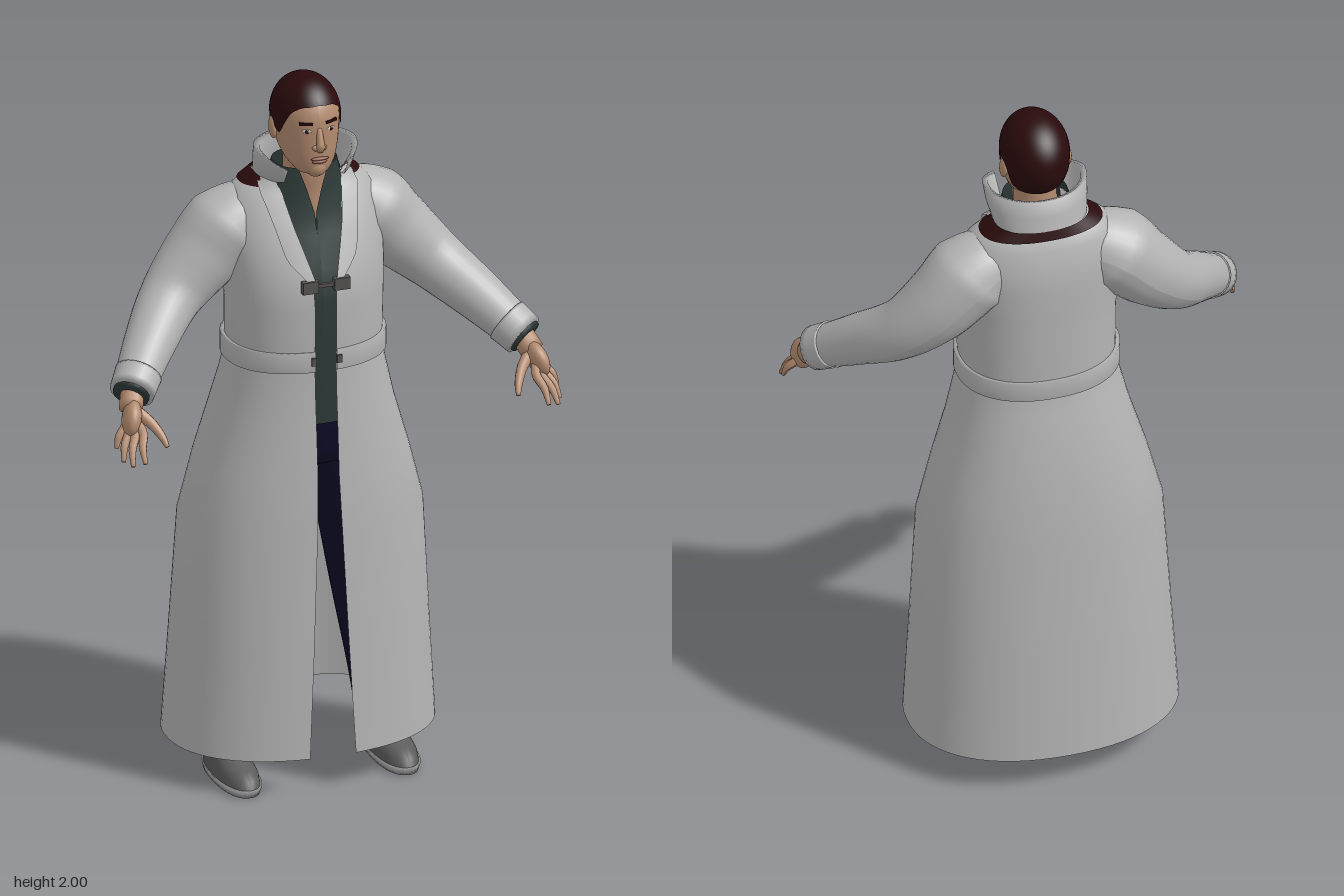
import * as THREE from 'three';

const mat = (name, color, side = THREE.FrontSide) => {
  const m = new THREE.MeshStandardMaterial({ color, side });
  m.name = name;
  return m;
};

// Smooth grid surface from f(u, v) -> [x, y, z]
function surface(f, nu, nv) {
  const pos = [], idx = [];
  for (let j = 0; j <= nv; j++) for (let i = 0; i <= nu; i++) pos.push(...f(i / nu, j / nv));
  for (let j = 0; j < nv; j++) for (let i = 0; i < nu; i++) {
    const a = j * (nu + 1) + i, b = a + nu + 1;
    idx.push(a, a + 1, b + 1, a, b + 1, b);
  }
  const g = new THREE.BufferGeometry();
  g.setAttribute('position', new THREE.Float32BufferAttribute(pos, 3));
  g.setIndex(idx);
  g.computeVertexNormals();
  return g;
}

// Interpolate section rows [y, halfWidth, zFront, zBack, halfGap] at a height
function rowAt(rows, y) {
  let i = 0;
  while (i < rows.length - 2 && y > rows[i + 1][0]) i++;
  const a = rows[i], b = rows[i + 1];
  const t = THREE.MathUtils.clamp((y - a[0]) / (b[0] - a[0]), 0, 1);
  return a.map((v, k) => v + (b[k] - v) * t);
}

const pw = (v, p) => Math.sign(v) * Math.abs(v) ** p;

// Rounded horizontal rings stacked upward, optionally open at the front
function loft(rows, { p = 1, x = 0, n = 48, lift = () => 0 } = {}) {
  return surface((u, v) => {
    const [y, rx, zf, zb, gap = 0] = rows[Math.round(v * (rows.length - 1))];
    const a0 = rx > 0 ? Math.asin(Math.min(1, (gap / rx) ** (1 / p))) : 0;
    const a = a0 + u * (2 * Math.PI - 2 * a0);
    return [x + rx * pw(Math.sin(a), p), y + lift(a, v),
      (zf + zb) / 2 + (zf - zb) / 2 * pw(Math.cos(a), p)];
  }, n, rows.length - 1);
}

// Tapered round limb through points [x, y, z, radius], closed at both ends
function limb(pts, n = 16, steps = 14) {
  const curve = new THREE.CatmullRomCurve3(pts.map(q => new THREE.Vector3(q[0], q[1], q[2])));
  const fr = curve.computeFrenetFrames(steps, false);
  return surface((u, v) => {
    const j = Math.round(v * (steps + 2)), k = THREE.MathUtils.clamp(j - 1, 0, steps);
    const t = k / steps * (pts.length - 1), i = Math.min(pts.length - 2, Math.floor(t));
    const r = j === 0 || j === steps + 2 ? 0 : THREE.MathUtils.lerp(pts[i][3], pts[i + 1][3], t - i);
    return curve.getPoint(k / steps)
      .addScaledVector(fr.normals[k], r * Math.cos(u * 2 * Math.PI))
      .addScaledVector(fr.binormals[k], r * Math.sin(u * 2 * Math.PI)).toArray();
  }, n, steps + 2);
}

const FACE = [[1.738, 0.015, 0.08, 0.03], [1.75, 0.045, 0.1, 0.005], [1.775, 0.066, 0.106, -0.05],
  [1.81, 0.079, 0.109, -0.09], [1.85, 0.086, 0.11, -0.112], [1.89, 0.088, 0.11, -0.117]];

// Point on the head at a height and angle (0 = front)
function headPoint(y, a, grow = 0) {
  let [, rx, zf, zb] = rowAt(FACE, y);
  if (y > 1.89) {
    const k = Math.sqrt(Math.max(0, 1 - ((y - 1.89) / 0.107) ** 2));
    rx *= k; zf *= k; zb *= k;
  }
  const g = y > 1.996 ? 0 : grow;
  return [(rx + g) * Math.sin(a), y, (zf + zb) / 2 + ((zf - zb) / 2 + g) * Math.cos(a)];
}

export function createModel() {
  const root = new THREE.Group();
  root.name = 'figureInLongCoat';
  const coat = mat('coatGrey', 0xb4b4b4, THREE.DoubleSide);
  const shirt = mat('shirtCharcoal', 0x2d3a38, THREE.DoubleSide);
  const navy = mat('trouserNavy', 0x0d0d28);
  const skin = mat('skin', 0xb48c70);
  const maroon = mat('hairMaroon', 0x2a0a0c, THREE.DoubleSide);
  const shoe = mat('shoeGrey', 0x5a5a5a);
  const sole = mat('soleGrey', 0x8a8a8a);
  const metal = mat('claspGrey', 0x55524f);
  const lip = mat('lip', 0x8a5a4a);
  const white = mat('eyeWhite', 0xc8c0b8);

  const add = (name, geo, m) => {
    const mesh = new THREE.Mesh(geo, m);
    mesh.name = name;
    root.add(mesh);
    return mesh;
  };
  const blob = (name, m, pos, scale) => {
    const b = add(name, new THREE.SphereGeometry(1, 16, 12), m);
    b.position.set(...pos);
    b.scale.set(...scale);
    return b;
  };
  const box = (name, m, pos, size) => {
    const b = add(name, new THREE.BoxGeometry(...size), m);
    b.position.set(...pos);
    return b;
  };

  // Coat: flared skirt, belt and upper body, open down the front
  const p = 0.9;
  add('coatSkirt', loft([[0.1, 0.373, 0.215, -0.335, 0.065], [0.4, 0.355, 0.204, -0.31, 0.05],
    [0.74, 0.336, 0.19, -0.28, 0.035], [0.9, 0.295, 0.178, -0.26, 0.03], [1.05, 0.25, 0.166, -0.235, 0.03],
    [1.14, 0.228, 0.158, -0.208, 0.03], [1.21, 0.212, 0.155, -0.195, 0.03]], { p, n: 64 }), coat);
  add('coatBelt', loft([[1.2, 0.215, 0.154, -0.195, 0.03], [1.2, 0.224, 0.162, -0.203, 0.03],
    [1.257, 0.224, 0.162, -0.203, 0.03], [1.257, 0.212, 0.154, -0.193, 0.03]], { p, n: 64 }), coat);
  const torso = [[1.2, 0.21, 0.155, -0.193, 0.03], [1.26, 0.213, 0.156, -0.194, 0.03],
    [1.38, 0.215, 0.158, -0.19, 0.03], [1.46, 0.218, 0.15, -0.188, 0.033], [1.54, 0.222, 0.116, -0.187, 0.055],
    [1.6, 0.222, 0.088, -0.18, 0.072], [1.66, 0.205, 0.055, -0.163, 0.084], [1.69, 0.17, 0.038, -0.147, 0.09],
    [1.71, 0.125, 0.027, -0.135, 0.095]];
  add('coatBody', loft(torso, { p, n: 64 }), coat);

  // Dark band under the collar, then the flared standing collar
  add('collarLining', loft([[1.692, 0.17, 0.036, -0.154, 0.115], [1.718, 0.13, 0.028, -0.146, 0.1]], { p }), maroon);
  add('coatCollar', loft([[1.7, 0.108, 0.05, -0.132, 0.08], [1.795, 0.126, 0.105, -0.106, 0.085],
    [1.8, 0.142, 0.118, -0.122, 0.085], [1.755, 0.138, 0.09, -0.133, 0.085], [1.708, 0.128, 0.045, -0.146, 0.095]],
  { lift: (a, v) => (v > 0.1 && v < 0.9 ? -0.045 : -0.008) * Math.max(0, Math.cos(a)) ** 1.5 }), coat);

  // Shirt, trousers top
  add('shirt', loft([[1.03, 0.185, 0.125, -0.16], [1.26, 0.195, 0.138, -0.175], [1.4, 0.195, 0.142, -0.17],
    [1.48, 0.19, 0.125, -0.165], [1.57, 0.17, 0.09, -0.15], [1.63, 0.14, 0.075, -0.125, 0.003],
    [1.69, 0.108, 0.068, -0.1, 0.02], [1.755, 0.088, 0.064, -0.086, 0.042]], { p }), shirt);
  add('trouserHips', loft([[0.9, 0, -0.02, -0.02], [0.905, 0.17, 0.1, -0.15], [0.95, 0.19, 0.122, -0.17],
    [1.035, 0.188, 0.13, -0.165]], { p }), navy);

  for (const s of [1, -1]) {
    const side = s > 0 ? 'left' : 'right';
    const mir = pts => pts.map(([x, ...rest]) => [x * s, ...rest]);

    // Lapel lying on the chest
    add(side + 'Lapel', surface((u, v) => {
      const y = 1.455 + 0.265 * v, r = rowAt(torso, y);
      const inner = r[4] - 0.004;
      const outer = rowAt([[1.455, 0.045], [1.52, 0.1], [1.6, 0.118], [1.69, 0.14], [1.72, 0.125]], y)[1];
      const x = inner + (outer - inner) * u;
      const c = Math.sqrt(Math.max(0, 1 - Math.min(1, x / r[1]) ** (2 / p)));
      const z = (r[2] + r[3]) / 2 + (r[2] - r[3]) / 2 * c ** p;
      return [s * x, y, z + 0.013];
    }, 6, 14), coat);

    // Sleeve, cuff and shirt cuff
    add(side + 'Sleeve', limb(mir([[0.12, 1.605, -0.06, 0.085], [0.2, 1.565, -0.065, 0.115],
      [0.29, 1.475, -0.06, 0.102], [0.38, 1.39, -0.025, 0.083], [0.47, 1.31, 0.065, 0.07],
      [0.555, 1.228, 0.165, 0.056]]), 28, 30), coat);
    add(side + 'Cuff', limb(mir([[0.525, 1.257, 0.13, 0.065], [0.559, 1.224, 0.17, 0.061]]), 24, 4), coat);
    add(side + 'ShirtCuff', limb(mir([[0.55, 1.233, 0.16, 0.052], [0.564, 1.219, 0.176, 0.05]]), 20, 2), shirt);

    // Hand with four fingers and a thumb
    add(side + 'Wrist', limb(mir([[0.55, 1.235, 0.155, 0.032], [0.572, 1.19, 0.2, 0.033]]), 14, 4), skin);
    const palm = blob(side + 'Palm', skin, [s * 0.578, 1.175, 0.222], [0.026, 0.052, 0.042]);
    palm.rotation.set(-0.75, 0, s * 0.3);
    const fingers = [[0.56, 1.145, 0.262, 0.575, 1.08, 0.322], [0.579, 1.138, 0.252, 0.606, 1.072, 0.31],
      [0.592, 1.14, 0.238, 0.622, 1.076, 0.28], [0.598, 1.15, 0.222, 0.628, 1.1, 0.24]];
    fingers.forEach(([x, y, z, tx, ty, tz], i) => add(side + 'Finger' + (i + 1), limb(mir([
      [0.576, 1.175, 0.22, 0.013], [x, y, z, 0.0125], [(x + tx) / 2 + 0.005, (y + ty) / 2 + 0.004, (z + tz) / 2, 0.011],
      [tx, ty, tz, 0.006]]), 10, 10), skin));
    add(side + 'Thumb', limb(mir([[0.565, 1.19, 0.205, 0.018], [0.53, 1.16, 0.235, 0.015],
      [0.508, 1.128, 0.268, 0.011], [0.5, 1.105, 0.288, 0.006]]), 10, 10), skin);

    // Trouser leg and shoe
    add(side + 'TrouserLeg', limb(mir([[0.1, 0.96, -0.02, 0.092], [0.122, 0.8, -0.02, 0.096],
      [0.165, 0.5, -0.025, 0.082], [0.205, 0.25, -0.035, 0.07], [0.228, 0.075, -0.045, 0.062]]), 24, 16), navy);
    add(side + 'Sole', loft([[0, 0, 0.04, 0.04], [0, 0.054, 0.186, -0.108], [0.022, 0.06, 0.195, -0.112],
      [0.022, 0, 0.04, 0.04]], { p: 0.85, x: s * 0.226 }), sole);
    add(side + 'Shoe', loft([[0.018, 0.057, 0.19, -0.109], [0.042, 0.055, 0.178, -0.107], [0.058, 0.05, 0.14, -0.104],
      [0.075, 0.047, 0.085, -0.1], [0.1, 0.045, 0.035, -0.098], [0.102, 0, -0.03, -0.03]],
    { p: 0.9, x: s * 0.226 }), shoe);

    // Chest clasp and belt clasp
    box(side + 'Clasp', metal, [s * 0.045, 1.448, 0.156], [0.045, 0.034, 0.018]);
    box(side + 'BeltClasp', metal, [s * 0.036, 1.232, 0.161], [0.014, 0.022, 0.012]);

    // Ear, eye and brow
    blob(side + 'Ear', skin, [s * 0.089, 1.855, -0.012], [0.011, 0.032, 0.019]).rotation.x = -0.2;
    const on = (y, a, g) => headPoint(y, s * a, g);
    blob(side + 'Eye', white, on(1.878, 0.4, -0.001), [0.014, 0.0055, 0.004]).rotation.y = s * 0.4;
    blob(side + 'Iris', maroon, on(1.878, 0.39, 0.002), [0.0055, 0.0055, 0.003]);
    const brow = box(side + 'Brow', maroon, on(1.899, 0.42, 0), [0.038, 0.007, 0.008]);
    brow.rotation.y = s * 0.42;
  }
  box('claspBar', metal, [0, 1.448, 0.154], [0.06, 0.01, 0.01]);

  // Neck and head
  add('neck', limb([[0, 1.6, -0.03, 0.07], [0, 1.68, -0.018, 0.062], [0, 1.74, -0.005, 0.06],
    [0, 1.81, -0.005, 0.06]], 24, 10), skin);
  const round = (lo, v) => lo + (1.997 - lo) * Math.sin(v * Math.PI / 2);
  add('head', surface((u, v) => headPoint(round(1.738, v), u * 2 * Math.PI), 40, 30), skin);
  add('chin', new THREE.SphereGeometry(0.03, 16, 12), skin).position.set(0, 1.765, 0.078);
  add('nose', limb([[0, 1.885, 0.102, 0.008], [0, 1.855, 0.112, 0.01], [0, 1.832, 0.116, 0.013],
    [0, 1.822, 0.108, 0.01]], 12, 10), skin);
  for (const s of [1, -1]) blob('nostril', skin, [s * 0.012, 1.829, 0.108], [0.009, 0.008, 0.01]);
  blob('upperLip', lip, [0, 1.797, 0.109], [0.026, 0.005, 0.007]);
  blob('lowerLip', lip, [0, 1.788, 0.107], [0.021, 0.006, 0.008]);

  // Short hair following a hairline around the head
  const HAIRLINE = [[0, 1.945], [0.55, 1.94], [0.85, 1.925], [1.0, 1.9], [1.25, 1.855], [1.45, 1.86],
    [1.6, 1.89], [1.85, 1.875], [2.05, 1.82], [2.5, 1.8], [Math.PI, 1.795]];
  add('hair', surface((u, v) => {
    const a = u * 2 * Math.PI;
    const q = headPoint(round(rowAt(HAIRLINE, Math.min(a, 2 * Math.PI - a))[1], v), a, 0.005);
    if (q[1] > 1.9) q[1] += 0.003 * (q[1] - 1.9) / 0.097;
    return q;
  }, 64, 20), maroon);

  return root;
}
